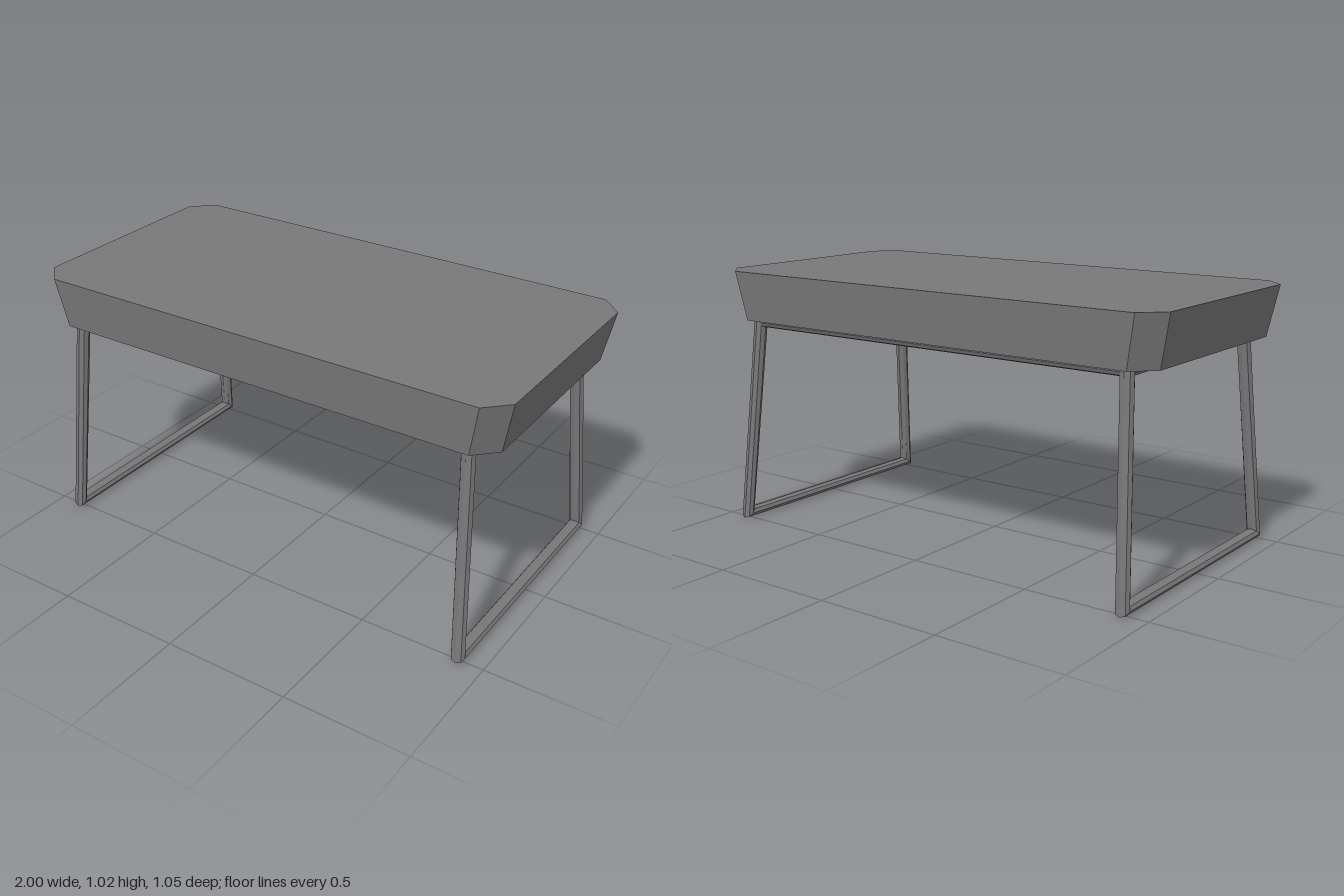
import * as THREE from 'three';
import { ConvexGeometry } from 'three/addons/geometries/ConvexGeometry.js';

const SIDES = 8;   // sides of the tubing
const RX = 0.028;  // tube radius across the frame
const RY = 0.019;  // radius of the horizontal bars
const RZ = 0.0215; // radius of the legs, front to back

// Corners of an octagon: a rectangle with its corners cut
function cutRectangle(hx, hz, cut, y) {
  const points = [];
  for (const sx of [-1, 1]) for (const sz of [-1, 1]) {
    points.push(new THREE.Vector3(sx * (hx - cut), y, sz * hz));
    points.push(new THREE.Vector3(sx * hx, y, sz * (hz - cut)));
  }
  return points;
}

// Closed, mitred tube loop running down one end of the table
function sideFrameGeometry(side) {
  // x, y, z of the tube centre and the outward direction at each corner
  const corners = [
    { x: 0.9, y: 0.02, z: 0.502, oy: -1, oz: 1 },
    { x: 0.855, y: 0.813, z: 0.43, oy: 1, oz: 1 },
    { x: 0.855, y: 0.813, z: -0.43, oy: 1, oz: -1 },
    { x: 0.9, y: 0.02, z: -0.502, oy: -1, oz: -1 },
  ];
  const positions = [];
  const index = [];
  corners.forEach((c, i) => {
    for (let j = 0; j < SIDES; j++) {
      const a = (j / SIDES) * Math.PI * 2;
      const out = Math.cos(a);
      positions.push(side * c.x + Math.sin(a) * RX, c.y + c.oy * out * RY, c.z + c.oz * out * RZ);
      const i2 = (i + 1) % corners.length;
      const j2 = (j + 1) % SIDES;
      const p = i * SIDES + j, q = i * SIDES + j2;
      const r = i2 * SIDES + j, s = i2 * SIDES + j2;
      index.push(p, q, r, q, s, r);
    }
  });
  const indexed = new THREE.BufferGeometry();
  indexed.setAttribute('position', new THREE.Float32BufferAttribute(positions, 3));
  indexed.setIndex(index);
  const geometry = indexed.toNonIndexed();
  geometry.computeVertexNormals();
  return geometry;
}

export function createModel() {
  const group = new THREE.Group();
  const material = new THREE.MeshStandardMaterial({ color: 0x787878, flatShading: true });
  const add = (name, geometry) => {
    const mesh = new THREE.Mesh(geometry, material);
    mesh.name = name;
    group.add(mesh);
    return mesh;
  };

  // Thick top tapering inwards towards its underside
  add('tableTop', new ConvexGeometry([
    ...cutRectangle(1, 0.5, 0.083, 1.02),
    ...cutRectangle(0.96, 0.48, 0.08, 0.823),
  ]));

  // Splayed end frames
  add('leftLegFrame', sideFrameGeometry(1));
  add('rightLegFrame', sideFrameGeometry(-1));

  // Long rails under the front and back edges
  for (const [name, z] of [['frontRail', 0.43], ['backRail', -0.43]]) {
    const rail = add(name, new THREE.CylinderGeometry(RY, RY, 1.71, SIDES));
    rail.rotation.z = Math.PI / 2;
    rail.position.set(0, 0.813, z);
  }
  return group;
}
